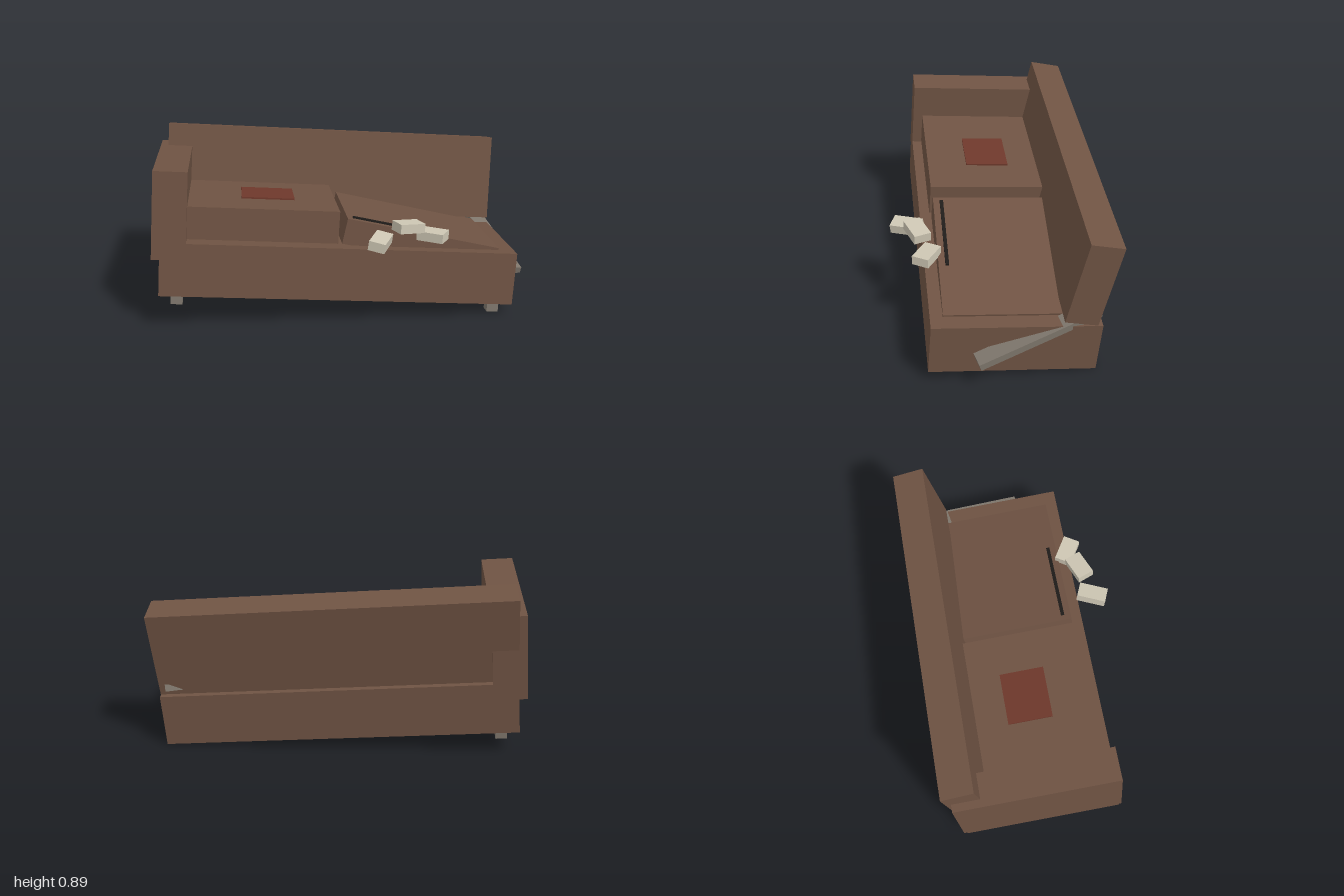
import * as THREE from 'three';

const material = (name, color) => {
  const m = new THREE.MeshStandardMaterial({ color });
  m.name = name;
  return m;
};

export function createModel() {
  const fabric = material('brown fabric', 0x6f5343);
  const patchRed = material('red patch', 0x6e382b);
  const wood = material('grey wood', 0x7d756b);
  const dark = material('dark tear', 0x1f1c1a);
  const cream = material('cream stuffing', 0xcdc6b3);

  const box = (parent, name, mat, size, pos, rot = [0, 0, 0]) => {
    const mesh = new THREE.Mesh(new THREE.BoxGeometry(...size), mat);
    mesh.name = name;
    mesh.position.set(...pos);
    mesh.rotation.set(...rot);
    parent.add(mesh);
    return mesh;
  };

  const model = new THREE.Group();
  model.name = 'brokenSofa';

  // Sofa body, sagging towards the corner with the missing foot
  const sofa = new THREE.Group();
  sofa.name = 'sofaBody';
  sofa.position.set(-0.02, 0.24, -0.01);
  sofa.rotation.set(-0.073, 0.056, -0.067);
  model.add(sofa);

  box(sofa, 'base', fabric, [1.82, 0.276, 0.825], [0, 0, 0]);
  box(sofa, 'backrest', fabric, [1.82, 0.46, 0.166], [0, 0.38, -0.337], [-0.14, 0, 0]);
  box(sofa, 'armrest', fabric, [0.17, 0.45, 0.825], [-0.865, 0.276, 0]);

  // Three remaining feet
  for (const [x, z] of [[0.82, 0.345], [-0.82, 0.345], [-0.82, -0.345]]) {
    box(sofa, 'foot', wood, [0.06, 0.06, 0.06], [x, -0.162, z]);
  }

  // Intact cushion with a sewn patch
  box(sofa, 'seatCushion', fabric, [0.77, 0.168, 0.61], [-0.4, 0.232, 0.055]);
  box(sofa, 'patch', patchRed, [0.275, 0.009, 0.23], [-0.37, 0.32, 0.034]);

  // Collapsed cushion with a long tear
  const sunken = new THREE.Group();
  sunken.name = 'collapsedCushion';
  sunken.position.set(0.417, 0.147, 0.05);
  sunken.rotation.z = -0.162;
  sofa.add(sunken);
  box(sunken, 'cushion', fabric, [0.81, 0.134, 0.6], [0, 0, 0]);
  box(sunken, 'tear', dark, [0.46, 0.009, 0.018], [-0.145, 0.071, 0.257]);

  // Stuffing spilling from the tear
  box(model, 'stuffing', cream, [0.085, 0.05, 0.155], [0.2, 0.465, 0.455], [0.03, -0.35, -0.15]);
  box(model, 'stuffing', cream, [0.14, 0.048, 0.09], [0.345, 0.523, 0.4], [-0.03, 0.42, -0.1]);
  box(model, 'stuffing', cream, [0.14, 0.048, 0.09], [0.475, 0.46, 0.355], [0, -0.5, 0]);

  // Loose frame plank where the other armrest broke off
  const from = new THREE.Vector3(0.8, 0.335, -0.46);
  const to = new THREE.Vector3(0.955, 0.163, 0.13);
  const plank = box(model, 'brokenPlank', wood, [0.09, 0.036, from.distanceTo(to)],
    from.clone().lerp(to, 0.5).toArray());
  plank.up.set(0.07, 1, 0);
  plank.lookAt(to);

  return model;
}
